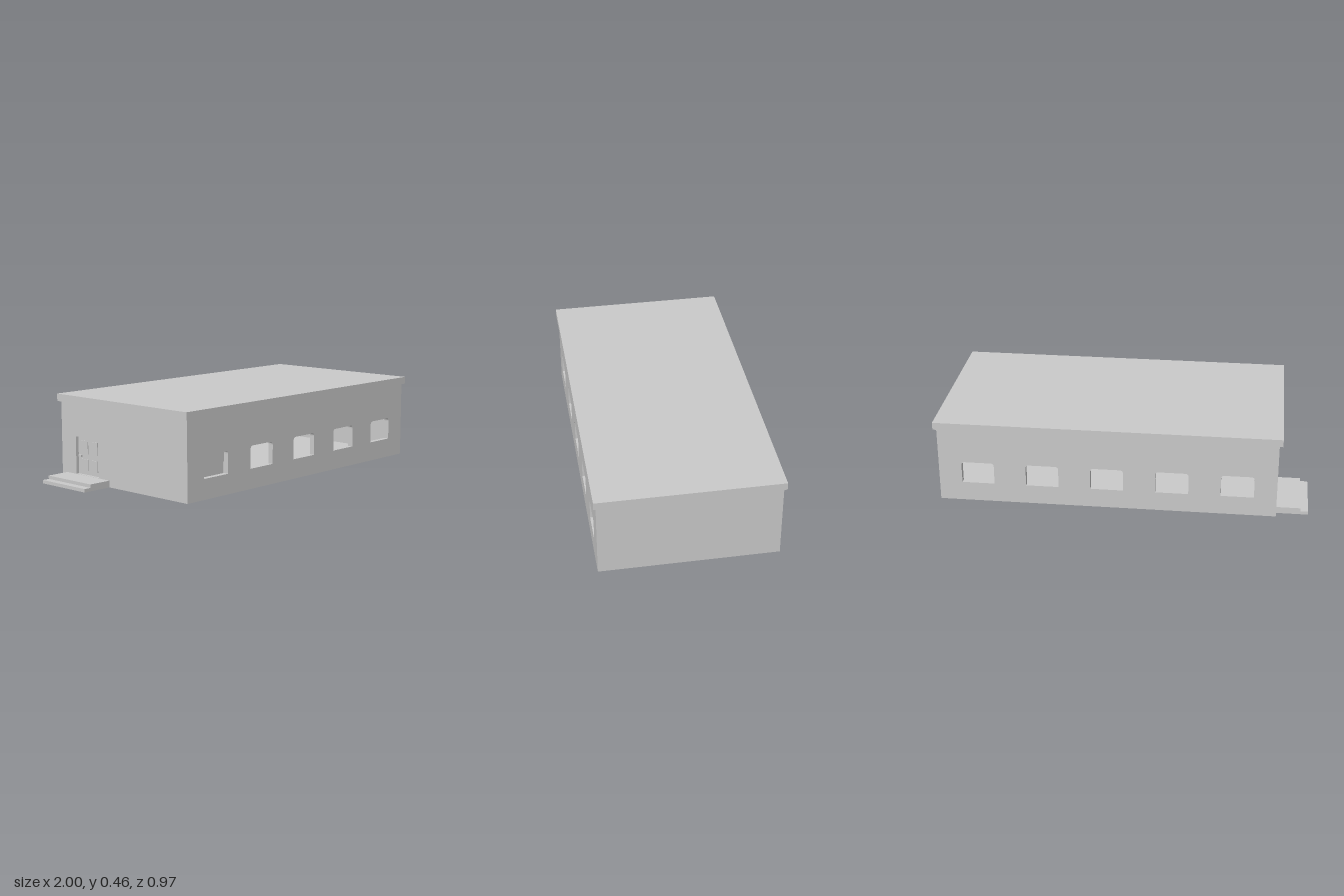
import * as THREE from 'three';

const grey = new THREE.MeshStandardMaterial({ color: 0xcacaca });
grey.name = 'plain grey';

// main dimensions
const X0 = -0.83, X1 = 0.98, Z0 = -0.473, Z1 = 0.47, H = 0.42, T = 0.03;
const WINDOWS = [-0.622, -0.275, 0.073, 0.42, 0.768];
const DOOR = { z: -0.27, w: 0.18, y0: 0.037, y1: 0.24 };

function add(parent, name, geometry) {
  const mesh = new THREE.Mesh(geometry, grey);
  mesh.name = name;
  parent.add(mesh);
  return mesh;
}

// box given by its min and max corners
function box(parent, name, x0, x1, y0, y1, z0, z1) {
  const mesh = add(parent, name, new THREE.BoxGeometry(x1 - x0, y1 - y0, z1 - z0));
  mesh.position.set((x0 + x1) / 2, (y0 + y1) / 2, (z0 + z1) / 2);
  return mesh;
}

function rectangle(Type, a, b, c, d) {
  const s = new Type();
  s.moveTo(a, c);
  s.lineTo(b, c);
  s.lineTo(b, d);
  s.lineTo(a, d);
  s.closePath();
  return s;
}

// window opening with rounded upper corners
function windowHole(cx) {
  const w = 0.088, y0 = 0.107, y1 = 0.228, r = 0.018;
  const p = new THREE.Path();
  p.moveTo(cx - w, y0);
  p.lineTo(cx + w, y0);
  p.lineTo(cx + w, y1 - r);
  p.quadraticCurveTo(cx + w, y1, cx + w - r, y1);
  p.lineTo(cx - w + r, y1);
  p.quadraticCurveTo(cx - w, y1, cx - w, y1 - r);
  p.closePath();
  return p;
}

function wall(shape) {
  return new THREE.ExtrudeGeometry(shape, { depth: T, bevelEnabled: false, curveSegments: 5 });
}

export function createModel() {
  const model = new THREE.Group();
  model.name = 'building';

  // long walls with five openings each
  for (const [name, z] of [['frontWall', Z1 - T], ['backWall', Z0]]) {
    const shape = rectangle(THREE.Shape, X0, X1, 0, H);
    WINDOWS.forEach((x) => shape.holes.push(windowHole(x)));
    add(model, name, wall(shape)).position.z = z;
  }

  // end walls, one plain and one with the doorway
  box(model, 'plainEndWall', X1 - T, X1, 0, H, Z0 + T, Z1 - T);
  const end = rectangle(THREE.Shape, Z0 + T, Z1 - T, 0, H);
  end.holes.push(rectangle(THREE.Path, DOOR.z - DOOR.w / 2, DOOR.z + DOOR.w / 2, DOOR.y0, DOOR.y1));
  const endWall = add(model, 'doorEndWall', wall(end));
  endWall.rotation.y = -Math.PI / 2;
  endWall.position.x = X0 + T;

  // floor and roof slab
  box(model, 'floor', X0 + T, X1 - T, 0, 0.02, Z0 + T, Z1 - T);
  box(model, 'roof', -0.848, 0.997, H, 0.46, -0.485, 0.483);

  // recessed door with raised panels and a handle
  const door = new THREE.Group();
  door.name = 'door';
  model.add(door);
  const half = DOOR.w / 2, dx = X0 + 0.018;
  box(door, 'doorLeaf', dx, X0 + T, DOOR.y0, DOOR.y1, DOOR.z - half, DOOR.z + half);
  for (const s of [-1, 1]) {
    for (const [y0, y1] of [[0.06, 0.12], [0.15, 0.22]]) {
      const zc = DOOR.z + s * 0.038;
      box(door, 'doorPanel', dx - 0.004, dx, y0, y1, zc - 0.026, zc + 0.026);
    }
  }
  box(door, 'doorHandle', dx - 0.012, dx, 0.13, 0.14, DOOR.z - 0.08, DOOR.z - 0.06);

  // two entrance steps
  box(model, 'lowerStep', -1, X0, 0, 0.018, -0.435, -0.1);
  box(model, 'upperStep', -0.96, X0, 0.018, 0.036, -0.435, -0.1);

  // closed sashes behind the first front window
  const sx = WINDOWS[0];
  box(model, 'upperSash', sx - 0.095, sx + 0.095, 0.165, 0.235, Z1 - T - 0.012, Z1 - T - 0.002);
  box(model, 'lowerSash', sx - 0.095, sx + 0.095, 0.1, 0.168, Z1 - T - 0.018, Z1 - T - 0.008);

  return model;
}
